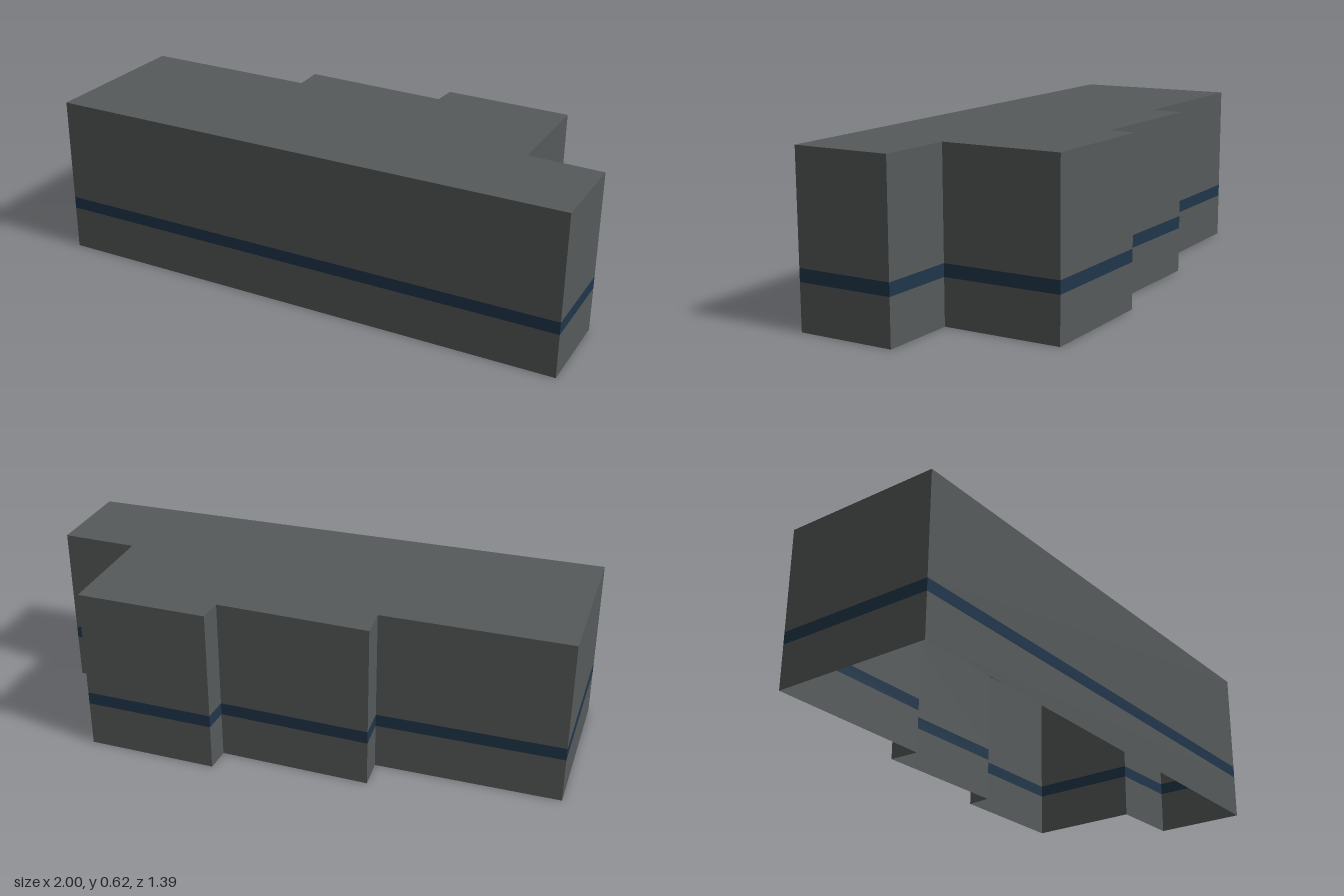
import * as THREE from 'three';

// Footprint corners as [x, z], starting at the back and running towards +x
const OUTLINE = [
  [-0.743, -0.697], [-0.117, -0.415], [-0.074, -0.527], [0.433, -0.283], [0.476, -0.368],
  [0.918, -0.16], [0.744, 0.24], [1, 0.364], [0.856, 0.693], [-1, -0.118],
];
const HEIGHT = 0.62;
const BAND_BOTTOM = 0.17;
const BAND_TOP = 0.217;

// Upright strip of wall following the footprint between two heights
function wallStrip(y0, y1) {
  const positions = [];
  OUTLINE.forEach(([ax, az], i) => {
    const [bx, bz] = OUTLINE[(i + 1) % OUTLINE.length];
    positions.push(ax, y0, az, ax, y1, az, bx, y0, bz);
    positions.push(bx, y0, bz, ax, y1, az, bx, y1, bz);
  });
  const geometry = new THREE.BufferGeometry();
  geometry.setAttribute('position', new THREE.Float32BufferAttribute(positions, 3));
  geometry.computeVertexNormals();
  return geometry;
}

export function createModel() {
  const group = new THREE.Group();
  group.name = 'building';

  const concrete = new THREE.MeshStandardMaterial({ color: 0x565a5a, side: THREE.DoubleSide });
  concrete.name = 'dark grey concrete';
  const navy = new THREE.MeshStandardMaterial({ color: 0x20364a, side: THREE.DoubleSide });
  navy.name = 'navy blue';

  const add = (name, geometry, material) => {
    const mesh = new THREE.Mesh(geometry, material);
    mesh.name = name;
    group.add(mesh);
  };

  // Walls with a painted band, open underneath
  add('lowerWalls', wallStrip(0, BAND_BOTTOM), concrete);
  add('wallBand', wallStrip(BAND_BOTTOM, BAND_TOP), navy);
  add('upperWalls', wallStrip(BAND_TOP, HEIGHT), concrete);

  // Flat roof
  const shape = new THREE.Shape(OUTLINE.map(([x, z]) => new THREE.Vector2(x, -z)));
  const roof = new THREE.ShapeGeometry(shape).rotateX(-Math.PI / 2).translate(0, HEIGHT, 0);
  add('roof', roof, concrete);

  return group;
}
